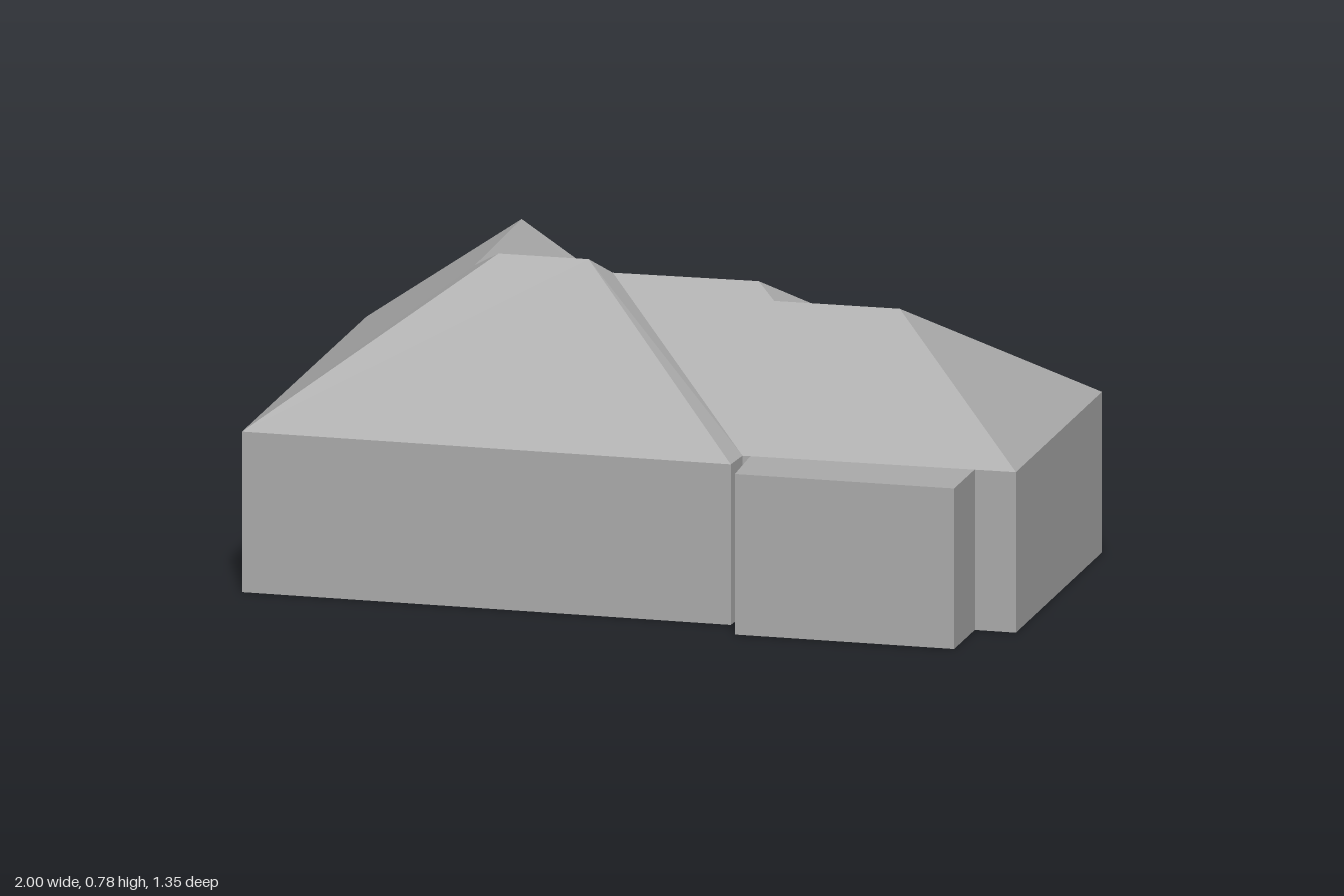
import * as THREE from 'three';

const EAVE = 0.41;

// Flat roof face: a fan around its first corner, wound so that it looks upward
function roofFace(points, material, name) {
  const v = points.map(([x, y, z]) => new THREE.Vector3(x, y, z));
  const pos = [];
  for (let i = 1; i < v.length - 1; i++) {
    const n = v[i].clone().sub(v[0]).cross(v[i + 1].clone().sub(v[0]));
    const tri = n.y >= 0 ? [v[0], v[i], v[i + 1]] : [v[0], v[i + 1], v[i]];
    tri.forEach((p) => pos.push(p.x, p.y, p.z));
  }
  const geo = new THREE.BufferGeometry();
  geo.setAttribute('position', new THREE.Float32BufferAttribute(pos, 3));
  geo.computeVertexNormals();
  const mesh = new THREE.Mesh(geo, material);
  mesh.name = name;
  return mesh;
}

function extrude(outline, depth) {
  const shape = new THREE.Shape(outline.map(([x, y]) => new THREE.Vector2(x, y)));
  return new THREE.ExtrudeGeometry(shape, { depth, bevelEnabled: false });
}

export function createModel() {
  const house = new THREE.Group();
  house.name = 'house';
  const grey = new THREE.MeshStandardMaterial({ color: 0xaaaaaa });
  grey.name = 'plain grey';

  // Walls: footprint (x, z) with stepped back and flat-topped front porch
  const plan = [
    [-0.94, -0.68], [-0.12, -0.635], [-0.11, -0.515], [0.23, -0.51], [0.24, -0.475],
    [0.66, -0.45], [0.66, -0.365], [0.995, -0.34], [0.955, 0.48], [0.85, 0.475],
    [0.84, 0.67], [0.28, 0.645], [0.28, 0.465], [0.26, 0.465], [0.25, 0.555], [-1, 0.495],
  ];
  const wallGeo = extrude(plan.map(([x, z]) => [x, -z]), EAVE);
  wallGeo.rotateX(-Math.PI / 2);
  const walls = new THREE.Mesh(wallGeo, grey);
  walls.name = 'walls';
  house.add(walls);

  // Eave corners
  const backWest = [-0.94, EAVE, -0.68], frontWest = [-1, EAVE, 0.495];
  const wingEast = [-0.12, EAVE, -0.635], wingValley = [-0.12, EAVE, -0.49];
  const frontMid = [0.25, EAVE, 0.555], notch = [0.26, EAVE, 0.465];
  const backMid = [0.66, EAVE, -0.45], backStep = [0.66, EAVE, -0.365];
  const backEast = [0.995, EAVE, -0.34], frontEast = [0.955, EAVE, 0.48];
  // Ridge points, west to east
  const gableTop = [-0.54, 0.69, -0.645], wingTop = [-0.54, 0.71, -0.1];
  const ridgeA = [-0.45, 0.78, 0.04], ridgeB = [-0.22, 0.78, 0.047];
  const midA = [-0.17, 0.735, -0.005], midB = [0.2, 0.735, 0];
  const eastA = [0.25, 0.7, 0.05], eastB = [0.57, 0.7, 0.06];

  const faces = {
    westSlope: [frontWest, ridgeA, wingTop, gableTop, backWest],
    rearGable: [backWest, wingEast, gableTop],
    rearWingSlope: [gableTop, wingTop, wingValley, wingEast],
    westFrontSlope: [frontWest, frontMid, ridgeB, ridgeA],
    westHipStrip: [ridgeB, frontMid, notch, midA],
    backSlope: [wingValley, backMid, midB, midA, ridgeB, ridgeA, wingTop],
    middleHipStrip: [midB, backMid, backStep, eastA],
    eastBackSlope: [eastA, backStep, backEast, eastB],
    eastHip: [eastB, backEast, frontEast],
    frontSlope: [notch, frontEast, eastB, eastA, midB, midA],
  };
  const roof = new THREE.Group();
  roof.name = 'roof';
  for (const [name, pts] of Object.entries(faces)) roof.add(roofFace(pts, grey, name));
  house.add(roof);

  // Small rear dormer running into the back slope
  const dormerGeo = extrude(
    [[-0.1, 0.3], [0.225, 0.3], [0.225, 0.425], [0.15, 0.5], [0.07, 0.505], [-0.1, 0.4]], 0.18);
  dormerGeo.translate(0, 0, -0.516);
  const dormer = new THREE.Mesh(dormerGeo, grey);
  dormer.name = 'rearDormer';
  house.add(dormer);

  return house;
}
